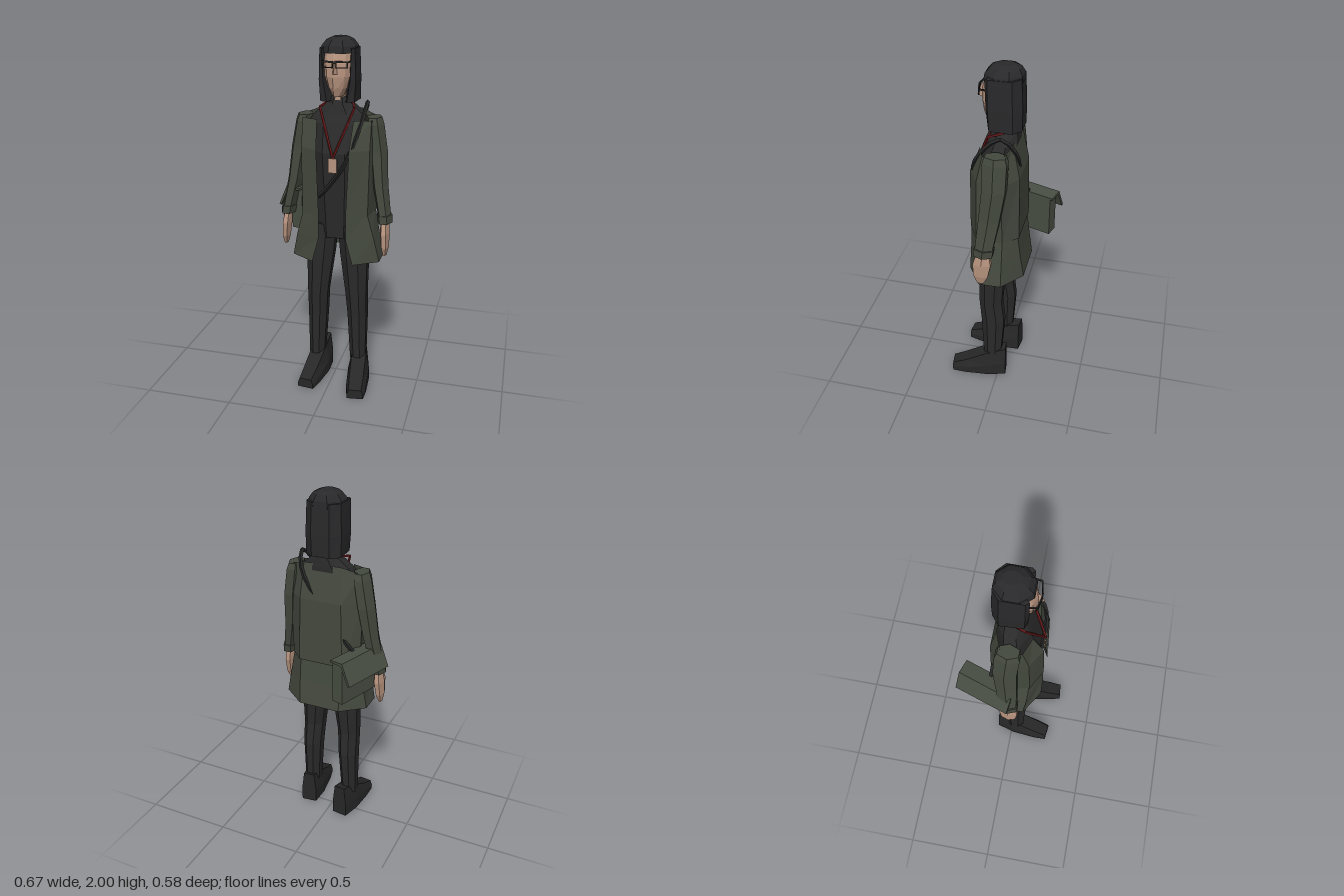
import * as THREE from 'three';

const CX = 0.02; // body centre line
const mat = (name, color, side = THREE.FrontSide) => {
  const m = new THREE.MeshStandardMaterial({ color, side });
  m.name = name;
  return m;
};

// Faceted skin over rows of points; each row runs anticlockwise about the loft direction.
function loft(rows, closed = true) {
  const pos = [], n = rows[0].length;
  const tri = (...pts) => pts.forEach((p) => pos.push(...p));
  for (let i = 0; i < rows.length - 1; i++) {
    for (let j = 0; j < (closed ? n : n - 1); j++) {
      const k = (j + 1) % n;
      tri(rows[i][j], rows[i][k], rows[i + 1][k]);
      tri(rows[i][j], rows[i + 1][k], rows[i + 1][j]);
    }
  }
  if (closed) {
    for (const row of [rows[0], rows[rows.length - 1]]) {
      const c = [0, 1, 2].map((a) => row.reduce((s, p) => s + p[a], 0) / n);
      for (let j = 0; j < n; j++) {
        const k = (j + 1) % n;
        if (row === rows[0]) tri(c, row[k], row[j]);
        else tri(c, row[j], row[k]);
      }
    }
  }
  const g = new THREE.BufferGeometry();
  g.setAttribute('position', new THREE.Float32BufferAttribute(pos, 3));
  g.computeVertexNormals();
  return g;
}

// Horizontal polygon ring: y, centre x, centre z, radii.
const ring = ([y, cx, cz, rx, rz], n = 8) => Array.from({ length: n }, (_, i) => {
  const t = ((i + 0.5) / n) * Math.PI * 2;
  const s = 1 / Math.cos(Math.PI / n);
  return [cx + rx * s * Math.sin(t), y, cz + rz * s * Math.cos(t)];
});

// Half outline [x, y, z] from front to back, mirrored about the centre line.
const mirrored = (half) => [
  ...half.map(([x, y, z]) => [CX + x, y, z]),
  ...half.slice().reverse().map(([x, y, z]) => [CX - x, y, z]),
];
const flat = (y, pts) => mirrored(pts.map(([x, z]) => [x, y, z]));

export function createModel() {
  const model = new THREE.Group();
  model.name = 'figure';
  const skin = mat('skin', 0xb8947f);
  const hairBlack = mat('hair black', 0x29292b, THREE.DoubleSide);
  const shirtBlack = mat('clothing black', 0x2a2a2b);
  const shoeBlack = mat('shoe black', 0x272728);
  const coatGreen = mat('coat green', 0x44493e, THREE.DoubleSide);
  const bagGreen = mat('bag green', 0x484e43);
  const red = mat('lanyard red', 0x7c1f1f);
  const add = (name, geometry, material, parent = model) => {
    const m = new THREE.Mesh(geometry, material);
    m.name = name;
    parent.add(m);
    return m;
  };
  const bar = (name, a, b, w, material) => {
    const from = new THREE.Vector3(...a), to = new THREE.Vector3(...b);
    const m = add(name, new THREE.BoxGeometry(w, w, from.distanceTo(to)), material);
    m.position.copy(from).add(to).multiplyScalar(0.5);
    m.lookAt(to);
    return m;
  };

  // High-necked top
  add('sweater', loft([
    [0.905, CX, 0.01, 0.12, 0.09], [1.06, CX, 0.01, 0.13, 0.1],
    [1.4, CX, 0.015, 0.15, 0.122], [1.55, CX, 0, 0.165, 0.085],
    [1.6, CX, -0.01, 0.13, 0.075], [1.65, CX, -0.015, 0.07, 0.065], [1.69, CX, -0.015, 0.05, 0.05],
  ].map((r) => ring(r))), shirtBlack);

  // Open coat: body with a flared skirt below the seam
  add('coatBody', loft([
    flat(1.05, [[0.075, 0.17], [0.185, 0.11], [0.205, -0.04], [0.13, -0.118]]),
    flat(1.42, [[0.09, 0.16], [0.19, 0.1], [0.215, -0.04], [0.12, -0.115]]),
    mirrored([[0.1, 1.575, 0.1], [0.19, 1.575, 0.065], [0.205, 1.58, -0.04], [0.11, 1.615, -0.078]]),
  ], false), coatGreen);
  add('coatSkirt', loft([
    flat(0.78, [[0.115, 0.17], [0.25, 0.085], [0.25, -0.04], [0.12, -0.145]]),
    flat(0.92, [[0.078, 0.17], [0.22, 0.1], [0.225, -0.04], [0.125, -0.125]]),
    flat(1.07, [[0.076, 0.164], [0.18, 0.105], [0.198, -0.04], [0.125, -0.108]]),
  ], false), coatGreen);

  for (const left of [true, false]) {
    const side = left ? 'left' : 'right';
    // Sleeve, cuff and hand; the right arm hangs a little further out and back
    const limb = ([y, x, z, rx, rz], n = 6) => {
      const t = left ? 0 : (1.58 - y) / 0.6;
      return ring([y, left ? x : 2 * CX - x - 0.03 * t, z - 0.04 * t, rx, rz], n);
    };
    add(side + 'Sleeve', loft([
      [1.04, 0.288, 0.045, 0.032, 0.048], [1.22, 0.256, 0.02, 0.038, 0.056],
      [1.4, 0.238, -0.003, 0.044, 0.062], [1.55, 0.217, -0.005, 0.042, 0.064],
      [1.585, 0.212, -0.005, 0.036, 0.054],
    ].map((r) => limb(r))), coatGreen);
    add(side + 'Cuff', loft([
      [1.01, 0.291, 0.048, 0.036, 0.052], [1.055, 0.287, 0.043, 0.038, 0.054],
    ].map((r) => limb(r))), coatGreen);
    add(side + 'Hand', loft([
      [0.82, 0.296, 0.065, 0.01, 0.018], [0.87, 0.296, 0.062, 0.02, 0.04],
      [0.95, 0.294, 0.055, 0.024, 0.05], [1.03, 0.29, 0.048, 0.02, 0.032],
    ].map((r) => limb(r))), skin);

    // Trouser leg
    const mx = (x) => (left ? x : 2 * CX - x);
    const dz = left ? 0.008 : -0.008;
    add(side + 'Leg', loft([
      [0.13, 0.147, 0.03, 0.045, 0.052], [0.42, 0.14, 0.025, 0.055, 0.068],
      [0.56, 0.135, 0.038, 0.06, 0.066], [0.8, 0.12, 0.03, 0.078, 0.075],
      [0.98, 0.105, 0.02, 0.08, 0.08],
    ].map(([y, x, z, rx, rz]) => ring([y, mx(x), z + dz, rx, rz]))), shirtBlack);

    // Shoe: sections from heel to toe
    const shoe = add(side + 'Shoe', loft([
      [0, 0.045, 0.032, 0.2], [0.11, 0.062, 0.042, 0.165], [0.25, 0.058, 0.04, 0.09], [0.33, 0.047, 0.036, 0.055],
    ].map(([z, w, t, h]) => [
      [w, 0, z], [w, h * 0.45, z], [t, h, z], [-t, h, z], [-w, h * 0.45, z], [-w, 0, z],
    ])), shoeBlack);
    shoe.position.set(left ? 0.143 : -0.085, 0, left ? -0.044 : -0.086);
    shoe.rotation.y = left ? 0.12 : -0.12;

    // Lanyard cord
    const s = left ? 1 : -1;
    bar(side + 'Cord', [CX + s * 0.095, 1.635, 0.06], [CX, 1.38, 0.156], 0.009, red);
    bar(side + 'NeckCord', [CX + s * 0.095, 1.635, 0.06], [CX + s * 0.06, 1.66, -0.05], 0.009, red);

    // Spectacle frame: rectangular rim and temple
    const rim = new THREE.Shape([[-0.032, -0.018], [0.032, -0.018], [0.032, 0.018], [-0.032, 0.018]]
      .map((p) => new THREE.Vector2(...p)));
    rim.holes.push(new THREE.Path([[-0.026, -0.013], [-0.026, 0.009], [0.026, 0.009], [0.026, -0.013]]
      .map((p) => new THREE.Vector2(...p))));
    const frame = add(side + 'SpectacleRim', new THREE.ExtrudeGeometry(rim, { depth: 0.006, bevelEnabled: false }), shoeBlack);
    frame.position.set(CX + s * 0.038, 1.868, 0.112);
    frame.rotation.y = s * 0.2;
    bar(side + 'SpectacleTemple', [CX + s * 0.07, 1.88, 0.108], [CX + s * 0.078, 1.88, 0.04], 0.007, shoeBlack);
  }
  bar('spectacleBridge', [CX - 0.01, 1.876, 0.121], [CX + 0.01, 1.876, 0.121], 0.007, shoeBlack);

  // Pass card
  add('passCard', new THREE.BoxGeometry(0.048, 0.08, 0.006), skin).position.set(CX, 1.34, 0.156);

  // Head with a ridged face, nose and neck
  const faceRow = ([y, w, zf]) => flat(y, [[0.012, zf], [w * 0.72, zf - 0.018], [w, zf - 0.05], [w * 0.8, -0.06]]);
  add('face', loft([
    [1.695, 0.03, 0.08], [1.74, 0.052, 0.097], [1.8, 0.068, 0.106], [1.87, 0.073, 0.103], [1.935, 0.068, 0.085],
  ].map(faceRow)), skin);
  add('nose', loft([
    [[CX + 0.018, 1.815, 0.095], [CX, 1.815, 0.095], [CX - 0.018, 1.815, 0.095], [CX, 1.82, 0.135]],
    [[CX + 0.008, 1.885, 0.095], [CX, 1.885, 0.095], [CX - 0.008, 1.885, 0.095], [CX, 1.885, 0.11]],
  ].map((r) => [r[3], r[0], r[1], r[2]])), skin);
  add('neck', loft([ring([1.63, CX, 0, 0.036, 0.042]), ring([1.76, CX, 0, 0.036, 0.042])]), skin);

  // Long hair: crown cap and hanging curtain
  add('hairCrown', loft([
    [1.92, CX, -0.008, 0.097, 0.1], [1.955, CX, -0.01, 0.09, 0.095],
    [1.985, CX, -0.014, 0.068, 0.074], [2.0, CX, -0.018, 0.035, 0.045],
  ].map((r) => ring(r))), hairBlack);
  add('hairCurtain', loft([
    flat(1.665, [[0.03, -0.01], [0.055, 0.068], [0.093, 0.055], [0.1, -0.07], [0.05, -0.11]]),
    flat(1.78, [[0.05, 0], [0.073, 0.074], [0.1, 0.058], [0.102, -0.07], [0.052, -0.112]]),
    flat(1.945, [[0.06, 0], [0.08, 0.075], [0.095, 0.058], [0.096, -0.065], [0.05, -0.105]]),
  ]), hairBlack);

  // Shoulder strap across the chest, over the left shoulder
  const strapPath = new THREE.CatmullRomCurve3([
    [0.17, 1.66, -0.02], [0.15, 1.52, 0.115], [0.09, 1.36, 0.148], [0.01, 1.24, 0.135], [-0.07, 1.15, 0.115],
    [-0.17, 1.1, 0.04], [-0.19, 1.13, -0.09], [-0.08, 1.25, -0.1], [0.05, 1.42, -0.1], [0.14, 1.58, -0.09],
  ].map((p) => new THREE.Vector3(...p)), true);
  const strap = new THREE.TubeGeometry(strapPath, 30, 0.011, 4, true).toNonIndexed();
  strap.computeVertexNormals();
  add('bagStrap', strap, shoeBlack);

  // Shoulder bag with an overhanging flap
  const bag = new THREE.Group();
  bag.name = 'shoulderBag';
  bag.position.set(-0.183, 0, -0.131);
  bag.rotation.y = -0.32;
  model.add(bag);
  add('bagBody', new THREE.BoxGeometry(0.07, 0.24, 0.27), bagGreen, bag).position.set(0, 1.03, 0.01);
  const flap = new THREE.Shape([
    [0.038, 1.15], [0.038, 1.162], [-0.046, 1.168], [-0.1, 1.05], [-0.088, 1.045], [-0.038, 1.15],
  ].map((p) => new THREE.Vector2(...p)));
  add('bagFlap', new THREE.ExtrudeGeometry(flap, { depth: 0.32, bevelEnabled: false }), bagGreen, bag).position.z = -0.14;

  return model;
}
